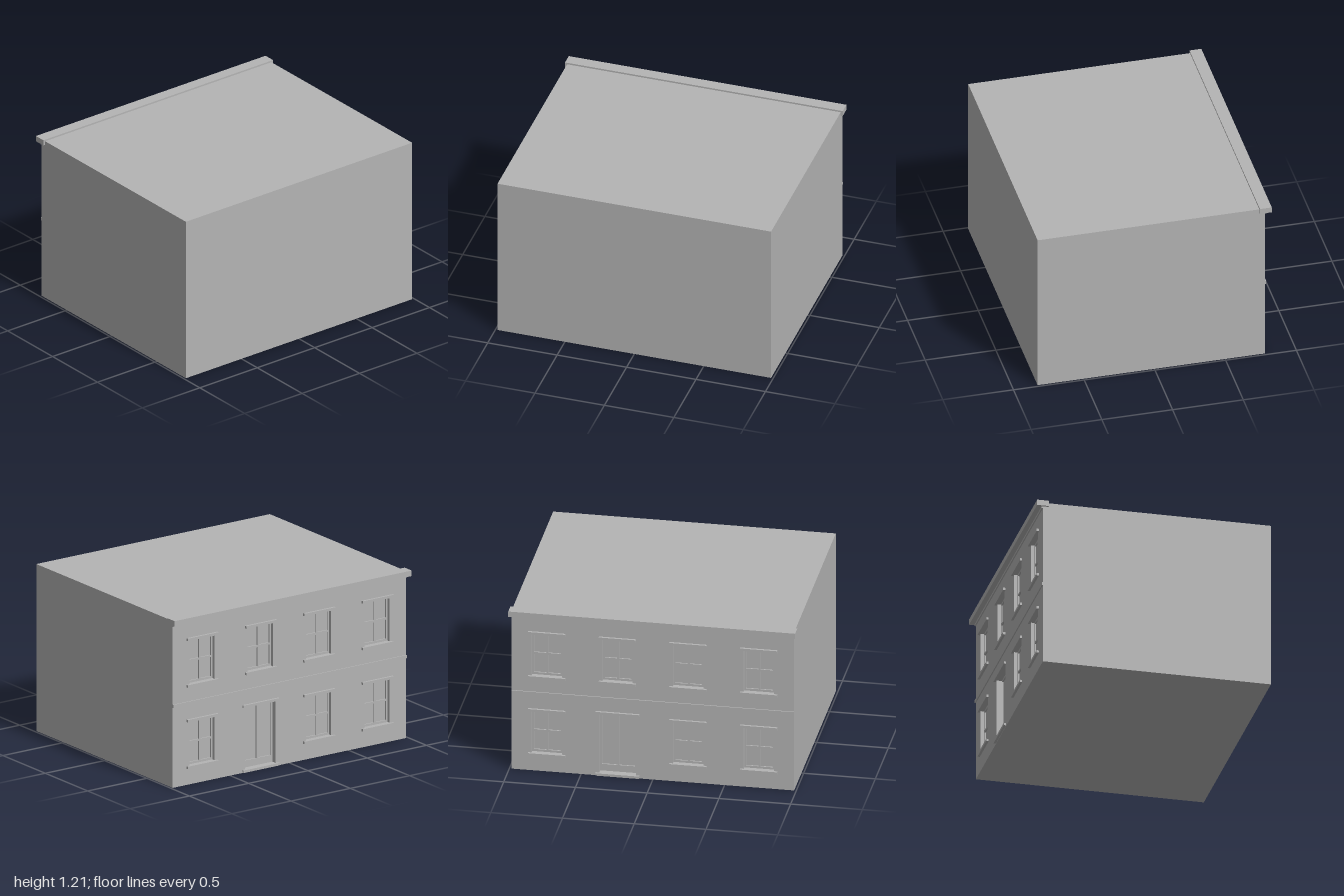
import * as THREE from 'three';

const stone = new THREE.MeshStandardMaterial({ color: 0xb4b4b4 });
stone.name = 'plain grey';

const WALL_Z = -0.782, WALL_T = 0.05, HALF_W = 0.985, TOP = 1.2, FRONT_Z = 0.826;
const BAYS = [0.739, 0.246, -0.246, -0.739];
const TRIM_H = 0.018, TRIM_D = 0.017;

function rect(PathType, x0, y0, x1, y1) {
  const p = new PathType();
  p.moveTo(x0, y0);
  p.lineTo(x1, y0);
  p.lineTo(x1, y1);
  p.lineTo(x0, y1);
  p.closePath();
  return p;
}

// Box given by its limits on each axis
function block(name, x0, x1, y0, y1, z0, z1) {
  const m = new THREE.Mesh(new THREE.BoxGeometry(x1 - x0, y1 - y0, z1 - z0), stone);
  m.position.set((x0 + x1) / 2, (y0 + y1) / 2, (z0 + z1) / 2);
  m.name = name;
  return m;
}

function plate(name, shape, z, depth) {
  const m = new THREE.Mesh(new THREE.ExtrudeGeometry(shape, { depth, bevelEnabled: false }), stone);
  m.position.z = z;
  m.name = name;
  return m;
}

// Frame and glazing bars set back in an opening
function glazing(name, o, rows, bottomRail, recess) {
  const rail = 0.013, bar = 0.015;
  const g = new THREE.Group();
  g.name = name;
  const shape = rect(THREE.Shape, o.x0, o.y0, o.x1, o.y1);
  const w = (o.x1 - o.x0 - 2 * rail - bar) / 2;
  const h = (o.y1 - o.y0 - rail - bottomRail - bar * (rows - 1)) / rows;
  for (let c = 0; c < 2; c++) {
    for (let r = 0; r < rows; r++) {
      const x = o.x0 + rail + c * (w + bar);
      const y = o.y0 + bottomRail + r * (h + bar);
      shape.holes.push(rect(THREE.Path, x, y, x + w, y + h));
    }
  }
  const z = WALL_Z + recess;
  g.add(plate('frame', shape, z, 0.01));
  g.add(block('pane', o.x0, o.x1, o.y0, o.y1, z + 0.01, WALL_Z + WALL_T + 0.005));
  return g;
}

export function createModel() {
  const model = new THREE.Group();
  model.name = 'building';

  // Openings: two floors of windows and one tall doorway
  const openings = [];
  for (const [y0, y1] of [[0.135, 0.452], [0.72, 1.037]]) {
    BAYS.forEach((x, i) => {
      const door = y0 < 0.5 && i === 1;
      const half = door ? 0.127 : 0.106;
      openings.push({ door, x, x0: x - half, x1: x + half, y0: door ? 0.022 : y0, y1: door ? 0.47 : y1 });
    });
  }

  // Main volume and the pierced facade
  model.add(block('mainVolume', -HALF_W, HALF_W, 0, TOP, WALL_Z + WALL_T, FRONT_Z));
  const facade = rect(THREE.Shape, -HALF_W, 0, HALF_W, TOP);
  for (const o of openings) facade.holes.push(rect(THREE.Path, o.x0, o.y0, o.x1, o.y1));
  model.add(plate('facade', facade, WALL_Z, WALL_T));

  // Glazing, lintels and sills
  for (const o of openings) {
    const half = o.door ? 0.152 : 0.13;
    const z0 = WALL_Z - TRIM_D, z1 = WALL_Z + 0.004;
    model.add(o.door ? glazing('door', o, 1, 0.05, 0.036) : glazing('window', o, 2, 0.016, 0.024));
    model.add(block('lintel', o.x - half, o.x + half, o.y1, o.y1 + TRIM_H, z0, z1));
    model.add(block(o.door ? 'doorStep' : 'sill', o.x - half, o.x + half, o.y0 - TRIM_H, o.y0, z0, z1));
  }

  // Floor band and roof cornice with its lower moulding
  model.add(block('floorBand', -HALF_W, HALF_W, 0.576, 0.598, WALL_Z - 0.008, WALL_Z + 0.004));
  model.add(block('corniceMoulding', -HALF_W, HALF_W, 1.158, 1.172, WALL_Z - 0.009, WALL_Z + 0.004));
  model.add(block('cornice', -1, 1, 1.172, 1.212, -0.826, -0.742));

  return model;
}
